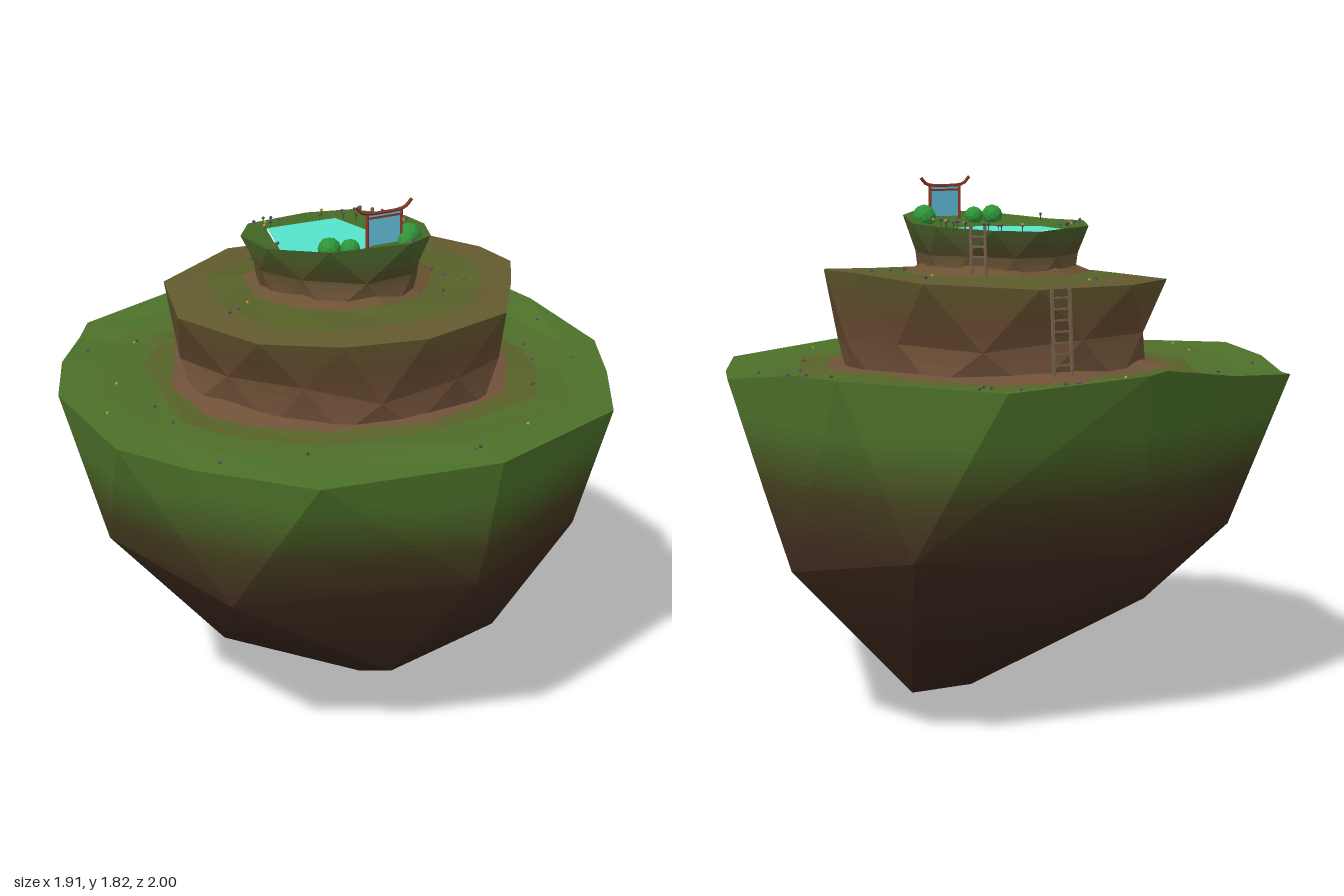
import * as THREE from 'three';
import { ConvexGeometry } from 'three/addons/geometries/ConvexGeometry.js';

const V = (x, y, z) => new THREE.Vector3(x, y, z);
const mat = color => new THREE.MeshStandardMaterial({ color, flatShading: true });

let seed = 7;
const rand = () => { seed = (seed * 16807) % 2147483647; return seed / 2147483647; };
const jitter = a => (rand() - 0.5) * 2 * a;

function mesh(parent, name, geo, material, pos) {
  const m = new THREE.Mesh(geo, material);
  m.name = name;
  if (pos) m.position.copy(pos);
  parent.add(m);
  return m;
}

// Triangles as a flat list of points
function toGeometry(points) {
  const g = new THREE.BufferGeometry().setFromPoints(points);
  g.computeVertexNormals();
  return g;
}

// Strip of triangles between an upper (or inner) ring and a lower (or outer) one
function loft(up, low) {
  const out = [];
  up.forEach((p, i) => {
    const j = (i + 1) % up.length;
    out.push(p, up[j], low[i], up[j], low[j], low[i]);
  });
  return out;
}

// Ring scaled from an outline; its height moves from the outline's towards y by k
const scaled = (ring, s, y, js = 0, jy = 0, k = 1) => ring.map(p => {
  const f = s + jitter(js);
  return V(p.x * f, p.y + (y - p.y) * k + jitter(jy), p.z * f);
});
// Ring shifted half a step, so that facets alternate
const halfStep = ring => ring.map((p, i) => p.clone().lerp(ring[(i + 1) % ring.length], 0.5));

// Part of a polygon on one side of the height y
function clip(poly, y, sign) {
  const out = [];
  poly.forEach((p, i) => {
    const q = poly[(i + 1) % poly.length], a = (p.y - y) * sign, b = (q.y - y) * sign;
    if (a >= 0) out.push(p);
    if (a * b < 0) out.push(p.clone().lerp(q, a / (a - b)));
  });
  return out;
}

// Cuts a surface into height bands that fade through the colour stops [y, colour]
function bands(parent, name, tris, stops, step) {
  const group = new THREE.Group();
  group.name = name;
  const top = Math.max(...tris.map(p => p.y)), bottom = Math.min(...tris.map(p => p.y));
  for (let y = bottom; y < top; y += step) {
    const pts = [], mid = y + step / 2;
    for (let i = 0; i < tris.length; i += 3) {
      const poly = clip(clip(tris.slice(i, i + 3), y, 1), y + step, -1);
      for (let k = 1; k + 1 < poly.length; k++) pts.push(poly[0], poly[k], poly[k + 1]);
    }
    if (!pts.length) continue;
    const n = stops.findIndex(s => s[0] > mid);
    const color = new THREE.Color(stops[n < 0 ? stops.length - 1 : n][1]);
    if (n > 0) {
      const [y0, c0] = stops[n - 1];
      color.lerpColors(new THREE.Color(c0), new THREE.Color(stops[n][1]), (mid - y0) / (stops[n][0] - y0));
    }
    mesh(group, name + 'Band', toGeometry(pts), mat(color));
  }
  parent.add(group);
}

// Wall of a tier: outline, waist shifted half a step, foot
function tierWall(parent, name, outline, waist, foot, stops, step) {
  bands(parent, name, [...loft(outline, waist), ...loft(waist, foot.slice(1).concat(foot[0]))], stops, step);
}

// Ladder leaning on a wall; local +z points away from the wall
function ladder(parent, x, y, z, height, width, turn, lean) {
  const g = new THREE.Group(), wood = mat(0x75604a);
  g.name = 'ladder';
  for (const s of [-1, 1])
    mesh(g, 'ladderRail', new THREE.BoxGeometry(0.009, height, 0.009), wood, V(s * width / 2, height / 2, 0));
  const n = Math.round(height / 0.035);
  for (let i = 1; i < n; i++)
    mesh(g, 'ladderRung', new THREE.BoxGeometry(width, 0.007, 0.007), wood, V(0, i * height / n, 0));
  g.position.set(x, y, z);
  g.rotation.set(lean, turn, 0, 'YXZ');
  parent.add(g);
}

export function createModel() {
  seed = 7;
  const model = new THREE.Group();
  model.name = 'floatingIsland';
  const ground = [];
  const GRASS = 0x4c7029, OLIVE = 0x586229, EARTH = 0x71523a;
  const floor = (name, inner, outer, color) =>
    ground.push(mesh(model, name, toGeometry(loft(inner, outer)), mat(color)));

  // Island body: hull of rim, shoulder, underside and tip, left open on top
  const rim = [
    [0, 1.18, 1], [-0.55, 1.15, 0.83], [-0.81, 1.15, 0.5], [-0.96, 1.17, 0.27],
    [-0.96, 1.2, -0.18], [-0.81, 1.19, -0.5], [-0.63, 1.17, -0.76], [-0.55, 1.18, -0.87],
    [-0.2, 1.21, -0.95], [0.15, 1.26, -1], [0.22, 1.25, -1], [0.62, 1.21, -0.81],
    [0.94, 1.23, -0.38], [0.95, 1.225, -0.15], [0.95, 1.175, 0.24], [0.8, 1.165, 0.5], [0.58, 1.17, 0.81],
  ].map(p => V(...p));
  const under = [
    [-0.9, 0.76, 0.05], [-0.695, 0.655, 0.52], [0, 0.72, 0.88], [0, 0.88, 0.93], [0.57, 0.7, 0.64],
    [0.9, 0.57, -0.05], [0.777, 0.667, -0.544], [0, 0.62, -0.76], [0.1, 0.9, -0.87], [-0.58, 0.62, -0.57],
    [-0.51, 0.3, 0.1], [-0.32, 0.36, -0.42], [-0.11, 0.27, 0.55], [0.36, 0.29, 0.48], [0.53, 0.13, -0.2],
    [0.29, 0.066, 0.085], [0.05, 0.32, -0.46], [0.05, 0, 0.09],
  ].map(p => V(...p));
  const hull = new ConvexGeometry([...rim, ...under]).getAttribute('position');
  const body = [];
  for (let i = 0; i < hull.count; i += 3) {
    const t = [0, 1, 2].map(k => new THREE.Vector3().fromBufferAttribute(hull, i + k));
    if (new THREE.Triangle(...t).getNormal(V(0, 0, 0)).y <= 0.02) body.push(...t);
  }
  bands(model, 'islandBody', body,
    [[0.3, 0x35231a], [0.68, 0x412c20], [0.85, 0x45401f], [1.05, GRASS]], 0.025);

  // Lower meadow, rising towards the back
  const meadow = scaled(rim, 0.84, 1.17, 0.03, 0.01, 0.5);
  const path = scaled(rim, 0.7, 1.175, 0.05, 0.01, 0.75);
  const foot = scaled(rim, 0.6, 1.18, 0.04, 0.008, 0.8);
  floor('meadowEdge', meadow, rim, GRASS);
  floor('meadow', path, meadow, 0x4e6c2a);
  floor('meadowPath', foot, path, OLIVE);
  floor('meadowFoot', scaled(rim, 0.45, 1.21, 0.03), foot, EARTH);

  // Middle tier
  const ledge = [
    [-0.03, 1.47, 0.62], [-0.3, 1.47, 0.55], [-0.5, 1.46, 0.36], [-0.6, 1.46, 0], [-0.48, 1.47, -0.35],
    [-0.12, 1.48, -0.56], [0.25, 1.48, -0.52], [0.55, 1.5, -0.3], [0.6, 1.52, 0], [0.59, 1.52, 0.2],
    [0.47, 1.51, 0.37], [0.3, 1.49, 0.58],
  ].map(p => V(...p));
  tierWall(model, 'middleTierWall', ledge, scaled(halfStep(ledge), 0.94, 1.28, 0.02, 0.03),
    scaled(ledge, 0.87, 1.15, 0.035, 0.01), [[1.2, EARTH], [1.36, 0x66492f], [1.5, 0x5a552a]], 0.03);
  const terrace = scaled(ledge, 0.78, 1.495, 0.05, 0.008, 0.6);
  const inner = scaled(ledge, 0.54, 1.5, 0.03, 0.008, 0.8);
  floor('terraceEdge', terrace, ledge, 0x62592e);
  floor('terrace', inner, terrace, 0x566029);
  floor('terraceFoot', scaled(ledge, 0.36, 1.55, 0.02), inner, 0x6b5233);

  // Top tier
  const crown = [
    [0.06, 1.705, 0.37], [-0.19, 1.69, 0.28], [-0.31, 1.67, 0.08], [-0.31, 1.67, -0.1], [-0.2, 1.66, -0.25],
    [0.06, 1.65, -0.3], [0.21, 1.655, -0.24], [0.31, 1.665, -0.05], [0.3, 1.67, 0.09], [0.2, 1.69, 0.28],
  ].map(p => V(...p));
  tierWall(model, 'topTierWall', crown, scaled(halfStep(crown), 0.9, 1.56, 0.03, 0.015),
    scaled(crown, 0.82, 1.46, 0.04), [[1.5, EARTH], [1.58, 0x554d29], [1.66, 0x48632b]], 0.025);

  // Pond sunk into the top tier
  const bank = [
    [0.03, 0.165], [-0.08, 0.2], [-0.16, 0.12], [-0.24, 0.04], [-0.195, -0.085],
    [-0.15, -0.21], [0, -0.205], [0.12, -0.2], [0.133, -0.03], [0.145, 0.13],
  ].map(([x, z]) => V(x, 1.642, z));
  floor('pondBank', bank, crown, 0x456a26);
  const shore = scaled(bank, 0.99, 1.646);
  mesh(model, 'pondWater', toGeometry(loft(shore.map(() => V(-0.03, 1.646, 0)), shore)), mat(0x55e2cc));

  // Gate with a curved top beam and a blue curtain
  const gate = new THREE.Group(), red = mat(0x8a3626);
  gate.name = 'gate';
  for (const x of [-0.035, 0.095])
    mesh(gate, 'gatePost', new THREE.CylinderGeometry(0.005, 0.006, 0.125, 6), red, V(x, 1.735, 0.26));
  mesh(gate, 'gateRail', new THREE.BoxGeometry(0.13, 0.007, 0.007), red, V(0.03, 1.775, 0.26));
  const arc = new THREE.CatmullRomCurve3([[-0.08, 1.82], [-0.055, 1.797], [0.03, 1.79], [0.11, 1.797], [0.135, 1.82]]
    .map(([x, y]) => V(x, y, 0.26)));
  mesh(gate, 'gateBeam', new THREE.TubeGeometry(arc, 16, 0.006, 5), red);
  mesh(gate, 'gateCurtain', new THREE.BoxGeometry(0.125, 0.105, 0.003), mat(0x62bcda), V(0.03, 1.735, 0.26));
  model.add(gate);

  // Bushes
  for (const [x, z, r] of [[-0.155, 0.22, 0.038], [-0.095, 0.25, 0.034], [0.148, 0.225, 0.042], [0.112, 0.265, 0.034]])
    mesh(model, 'bush', new THREE.IcosahedronGeometry(r, 1), mat(0x2f9438), V(x, 1.66 + r * 0.6, z));

  // Ladders at the back
  ladder(model, 0.18, 1.2, -0.555, 0.29, 0.07, Math.PI - 0.1, -0.06);
  ladder(model, 0.235, 1.5, -0.19, 0.17, 0.05, Math.PI * 0.68, 0.06);

  // Small flowers standing on the ground
  model.updateMatrixWorld(true);
  const ray = new THREE.Raycaster();
  const stem = new THREE.CylinderGeometry(0.0015, 0.0015, 0.022, 4), head = new THREE.IcosahedronGeometry(0.006, 0);
  const green = mat(0x3a5a2a), petals = [0x6d4a7a, 0x4a4450, 0xb59a35, 0x5a4a5e].map(mat);
  function flowers(count, r0, r1, a0, a1, tall) {
    for (let i = 0; i < count; i++) {
      const a = a0 + rand() * (a1 - a0), r = r0 + rand() * (r1 - r0);
      ray.set(V(Math.cos(a) * r, 3, Math.sin(a) * r), V(0, -1, 0));
      const hit = ray.intersectObjects(ground)[0];
      if (!hit) continue;
      const p = hit.point;
      if (tall) mesh(model, 'flowerStem', stem, green, V(p.x, p.y + 0.011, p.z));
      mesh(model, 'flowerHead', head, petals[i % 4], V(p.x, p.y + (tall ? 0.024 : 0.005), p.z));
    }
  }
  flowers(22, 0.2, 0.28, -1.3, 0.3, true);
  flowers(9, 0.24, 0.29, 2.6, 4.4, true);
  flowers(12, 0.33, 0.5, 0, 6.28, false);
  flowers(34, 0.68, 0.9, 0, 6.28, false);
  return model;
}
